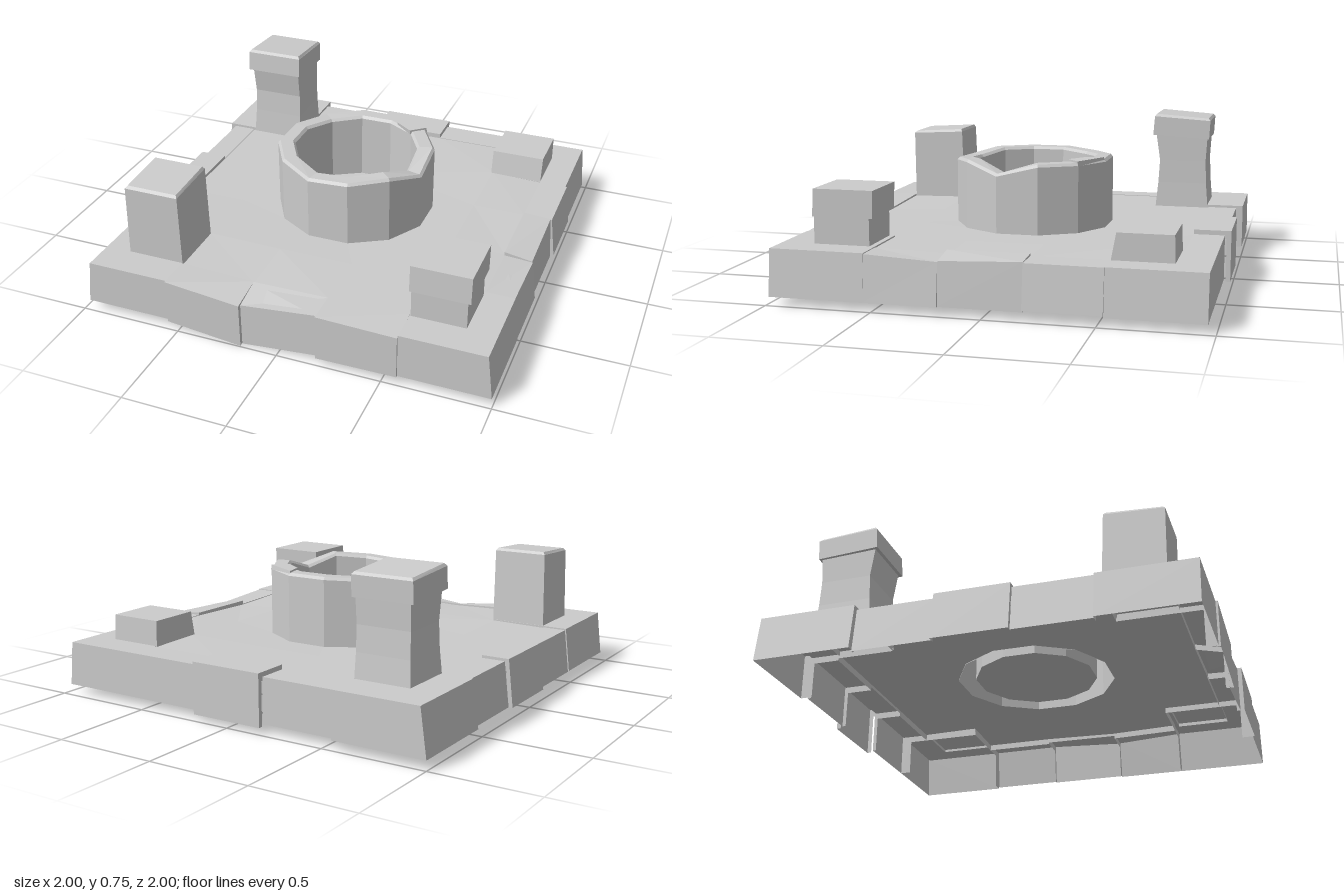
import * as THREE from 'three';

const material = new THREE.MeshStandardMaterial({ color: 0xcccccc, flatShading: true, side: THREE.DoubleSide });

// Mesh from a list of four-cornered faces
function quadMesh(name, quads) {
  const pos = [];
  for (const [a, b, c, d] of quads) pos.push(...a, ...b, ...c, ...a, ...c, ...d);
  const geo = new THREE.BufferGeometry();
  geo.setAttribute('position', new THREE.Float32BufferAttribute(pos, 3));
  geo.computeVertexNormals();
  const mesh = new THREE.Mesh(geo, material);
  mesh.name = name;
  return mesh;
}

const mix = (a, b, t) => a.map((v, i) => v + (b[i] - v) * t);

// Rectangular column, open below: sections are [x0, x1, z0, z1, yFront, yBack]
function column(name, sections) {
  const rings = sections.map(([x0, x1, z0, z1, yf, yb = yf]) =>
    [[x0, yf, z1], [x1, yf, z1], [x1, yb, z0], [x0, yb, z0]]);
  const quads = [rings[rings.length - 1]];
  for (let i = 0; i + 1 < rings.length; i++) {
    for (let k = 0; k < 4; k++) {
      const n = (k + 1) % 4;
      quads.push([rings[i][k], rings[i][n], rings[i + 1][n], rings[i + 1][k]]);
    }
  }
  return quadMesh(name, quads);
}

// Edge stone: full-height outer walls, shallow inner lips, hollow below.
// Corners run front-left, front-right, back-right, back-left as seen from the front.
function stone(name, x0, x1, z0, z1, tops, outer, bottoms = 0.04, splay = 0.025) {
  const ty = Array.isArray(tops) ? tops : [tops, tops, tops, tops];
  const by = Array.isArray(bottoms) ? bottoms : [bottoms, bottoms, bottoms, bottoms];
  const l = outer.includes('L') ? splay : 0, r = outer.includes('R') ? splay : 0;
  const t = [[x0, ty[0], z1], [x1, ty[1], z1], [x1, ty[2], z0], [x0, ty[3], z0]];
  const b = [[x0 - l, by[0], z1], [x1 + r, by[1], z1], [x1 + r, by[2], z0], [x0 - l, by[3], z0]];
  const isOuter = [...'FRBL'].map(s => outer.includes(s));
  const quads = [t];
  for (let k = 0; k < 4; k++) {
    const n = (k + 1) % 4;
    if (isOuter[k]) {
      quads.push([b[k], b[n], t[n], t[k]]);
      continue;
    }
    quads.push([mix(t[k], b[k], 0.16), mix(t[n], b[n], 0.16), t[n], t[k]]);
    // narrow end return beside an outer wall
    if (isOuter[(k + 3) % 4]) quads.push([b[k], mix(b[k], b[n], 0.12), mix(t[k], t[n], 0.12), t[k]]);
    if (isOuter[n]) quads.push([mix(b[n], b[k], 0.12), b[n], t[n], mix(t[n], t[k], 0.12)]);
  }
  return quadMesh(name, quads);
}

// Paved floor: a grid with openings for the pillars and the well
function floor() {
  const xs = [-0.94, -0.83, -0.55, -0.18, 0.19, 0.57, 0.83, 0.965];
  const zs = [-0.96, -0.82, -0.54, -0.18, 0.19, 0.54, 0.83, 0.97];
  const heights = { '3,7': 0.205, '3,6': 0.24, '4,7': 0.245, '7,4': 0.23, '6,4': 0.24, '2,5': 0.255, '5,2': 0.255 };
  const p = (i, j) => [xs[i], heights[`${i},${j}`] ?? 0.25, zs[j]];
  const quads = [];
  for (let i = 0; i < 7; i++) {
    for (let j = 0; j < 7; j++) {
      const well = i > 1 && i < 5 && j > 1 && j < 5;
      const pillar = (i === 1 || i === 5) && (j === 1 || j === 5);
      if (!well && !pillar) quads.push([p(i, j), p(i, j + 1), p(i + 1, j + 1), p(i + 1, j)]);
    }
  }
  // twelve paving facets from the square opening to the well
  const rim = [[4, 5], [5, 5], [5, 4], [5, 3], [5, 2], [4, 2], [3, 2], [2, 2], [2, 3], [2, 4], [2, 5], [3, 5]];
  const inner = i => {
    const a = Math.PI / 12 + i * Math.PI / 6;
    return [0.39 * Math.sin(a), 0.248, 0.39 * Math.cos(a)];
  };
  rim.forEach((c, i) => {
    const n = (i + 1) % 12;
    quads.push([p(...c), p(...rim[n]), inner(n), inner(i)]);
  });
  return quadMesh('floor', quads);
}

// Twelve-sided hollow well with an uneven rim
function well() {
  const group = new THREE.Group();
  group.name = 'well';
  const profile = [[0.39, 0.245], [0.39, 0.572], [0.378, 0.585], [0.315, 0.585], [0.303, 0.572], [0.303, 0.25], [0, 0.25]];
  const geo = new THREE.LatheGeometry(profile.map(q => new THREE.Vector2(...q)), 12, Math.PI / 12);
  const drops = [0.012, 0, 0.05, 0, 0, 0, 0, 0.008, 0, 0, 0, 0.022];
  const pos = geo.attributes.position;
  for (let i = 0; i < pos.count; i++) {
    const side = Math.floor(i / profile.length) % 12;
    if (pos.getY(i) > 0.5) pos.setY(i, pos.getY(i) - drops[side]);
  }
  const wall = new THREE.Mesh(geo, material);
  wall.name = 'wellWall';
  group.add(wall);
  // one rim stone sitting slightly proud
  const ring = (y, grow) => [[0.12, -0.28], [0.21, -0.215], [0.28, -0.275], [0.1, -0.37]]
    .map(([x, z]) => [x * grow, y, z * grow]);
  const lo = ring(0.57, 1), hi = ring(0.594, 0.99);
  const quads = [hi];
  for (let k = 0; k < 4; k++) {
    const n = (k + 1) % 4;
    quads.push([lo[k], lo[n], hi[n], hi[k]]);
  }
  group.add(quadMesh('raisedRimStone', quads));
  return group;
}

export function createModel() {
  const model = new THREE.Group();
  model.name = 'courtyardWithWell';
  model.add(floor(), well());

  // Edge stones, round from the front
  const stones = [
    [-0.95, -0.55, 0.54, 0.985, 0.26, 'FL', 0.045],
    [-0.55, -0.18, 0.83, 0.995, [0.26, 0.22, 0.248, 0.26], 'F', [0.04, 0, 0.04, 0.04]],
    [-0.18, 0.19, 0.83, 0.975, [0.213, 0.253, 0.253, 0.247], 'F', [0, 0.035, 0.04, 0.04]],
    [0.19, 0.57, 0.825, 0.995, [0.26, 0.25, 0.26, 0.262], 'F', [0.035, 0.04, 0.04, 0.04]],
    [0.57, 0.97, 0.54, 0.985, 0.257, 'FR'],
    [0.83, 0.968, 0.2, 0.54, [0.253, 0.253, 0.236, 0.244], 'R'],
    [0.83, 0.965, -0.18, 0.2, [0.262, 0.24, 0.256, 0.265], 'R', 0.04, 0.015],
    [0.83, 0.972, -0.53, -0.18, 0.253, 'R', 0.05],
    [0.57, 0.965, -0.965, -0.53, 0.253, 'RB', 0.04, 0.02],
    [0.19, 0.57, -0.965, -0.82, 0.253, 'B'],
    [-0.175, 0.19, -0.995, -0.82, 0.275, 'B', 0.03],
    [-0.55, -0.175, -0.965, -0.82, 0.253, 'B'],
    [-0.97, -0.55, -1, -0.54, 0.265, 'BL', 0.045, 0.03],
    [-0.945, -0.83, -0.54, -0.17, 0.253, 'L'],
    [-0.965, -0.83, -0.17, 0.18, 0.266, 'L'],
    [-0.945, -0.83, 0.18, 0.54, 0.253, 'L'],
  ];
  stones.forEach((s, i) => model.add(stone(`edgeStone${i + 1}`, ...s)));

  // Corner pillars
  model.add(
    column('tallCappedPillar', [
      [-0.82, -0.545, -0.815, -0.535, 0.24],
      [-0.812, -0.548, -0.803, -0.548, 0.38],
      [-0.81, -0.548, -0.798, -0.555, 0.5],
      [-0.812, -0.546, -0.805, -0.535, 0.635, 0.622],
      [-0.83, -0.533, -0.815, -0.518, 0.635, 0.618],
      [-0.83, -0.533, -0.82, -0.526, 0.735, 0.716],
      [-0.82, -0.543, -0.81, -0.536, 0.748, 0.728],
    ]),
    column('plainPillar', [
      [-0.825, -0.547, 0.543, 0.828, 0.24],
      [-0.815, -0.547, 0.555, 0.832, 0.608, 0.622],
      [-0.805, -0.556, 0.563, 0.82, 0.62, 0.635],
    ]),
    column('shortCappedPillar', [
      [0.575, 0.83, 0.565, 0.83, 0.24],
      [0.575, 0.83, 0.565, 0.83, 0.385],
      [0.565, 0.843, 0.545, 0.832, 0.385],
      [0.565, 0.843, 0.54, 0.825, 0.512],
    ]),
    column('lowBlock', [
      [0.565, 0.83, -0.81, -0.53, 0.24],
      [0.565, 0.83, -0.805, -0.555, 0.375],
    ]),
  );
  return model;
}
